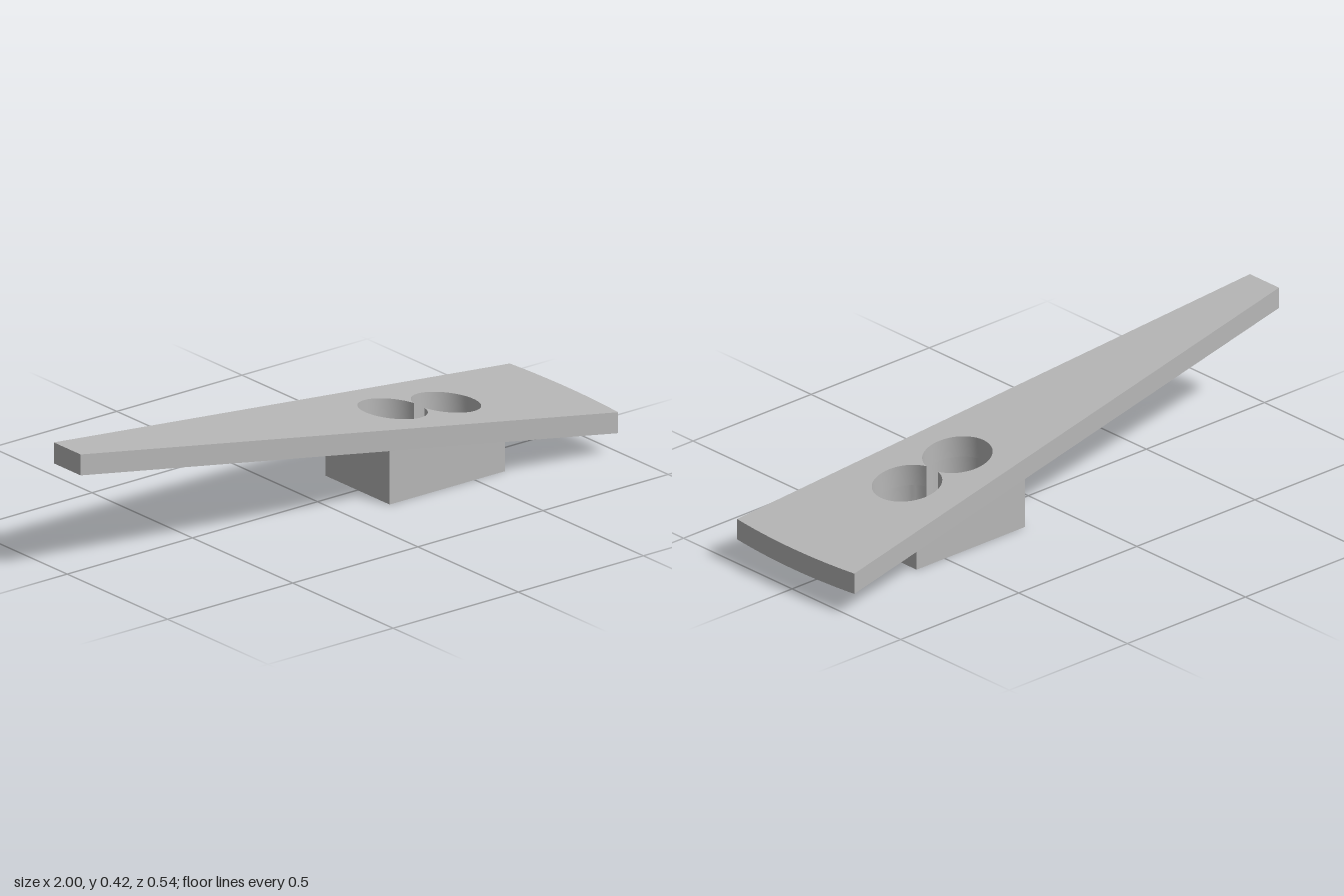
import * as THREE from 'three';
import { toCreasedNormals } from 'three/addons/utils/BufferGeometryUtils.js';

const R = 0.11;            // counterbore radius
const HOLE = 0.062;        // through-hole radius
const A = 0.248;           // half angle of the gap where the counterbores meet
const D = R * Math.cos(A);
const X0 = 0.16, X1 = 0.62, HALF = 0.16;  // mounting block footprint
const C1 = X1 - D, C0 = C1 - 2 * D;       // hole centres along x
const FLOOR = 0.065;       // height of the counterbore floor

const underside = (x) => 0.35 - 0.14 * (x + 1);
const v = (x, y) => new THREE.Vector2(x, y);

// Points along an arc around (cx, 0)
function arc(cx, r, from, to, n = 48) {
  return Array.from({ length: n + 1 }, (_, i) => {
    const t = from + (to - from) * i / n;
    return v(cx + r * Math.cos(t), r * Math.sin(t));
  });
}

// Extrude a plan outline upwards, then remap each vertex height
function solid(points, holes, height, remap) {
  const shape = new THREE.Shape(points);
  for (const h of holes) shape.holes.push(new THREE.Path(h));
  const geo = new THREE.ExtrudeGeometry(shape, { depth: height, bevelEnabled: false });
  geo.rotateX(-Math.PI / 2);
  const p = geo.attributes.position;
  for (let i = 0; i < p.count; i++) p.setY(i, remap(p.getX(i), p.getY(i)));
  return toCreasedNormals(geo, 0.5);
}

export function createModel() {
  const model = new THREE.Group();
  model.name = 'taperedWedgePlate';
  const grey = new THREE.MeshStandardMaterial({ color: 0xb8b8b8 });
  grey.name = 'plain grey';

  const add = (name, geo) => {
    const mesh = new THREE.Mesh(geo, grey);
    mesh.name = name;
    model.add(mesh);
  };

  // Sloping tapered plate with a bowed wide end and a joined double opening
  const plan = [v(-1, 0.067), v(-1, -0.067)];
  for (let i = -8; i <= 8; i++) {
    const t = i / 8;
    plan.push(v(1 - 0.015 * t * t, 0.27 * t));
  }
  const opening = [
    ...arc(C1, R, A - Math.PI, Math.PI - A),
    ...arc(C0, R, A, 2 * Math.PI - A).slice(1, -1),
  ];
  add('slopingPlate', solid(plan, [opening], 0.07, (x, y) => y + underside(x)));

  // Lower block with two through holes
  const base = [v(X0, -HALF), v(X1, -HALF), v(X1, HALF), v(X0, HALF)];
  const drills = [C0, C1].map((c) => arc(c, HOLE, 0, 2 * Math.PI).slice(0, -1));
  add('blockBase', solid(base, drills, FLOOR, (x, y) => y));

  // Upper block around the counterbores, which break through the end face
  const walls = [
    v(X0, -HALF), v(X1, -HALF),
    ...arc(C1, R, -A, A - Math.PI, 24),
    ...arc(C0, R, 2 * Math.PI - A, A).slice(1, -1),
    ...arc(C1, R, Math.PI - A, A, 24),
    v(X1, HALF), v(X0, HALF),
  ];
  add('blockWalls', solid(walls, [], 1, (x, y) => (y > 0.5 ? underside(x) : FLOOR)));

  return model;
}
